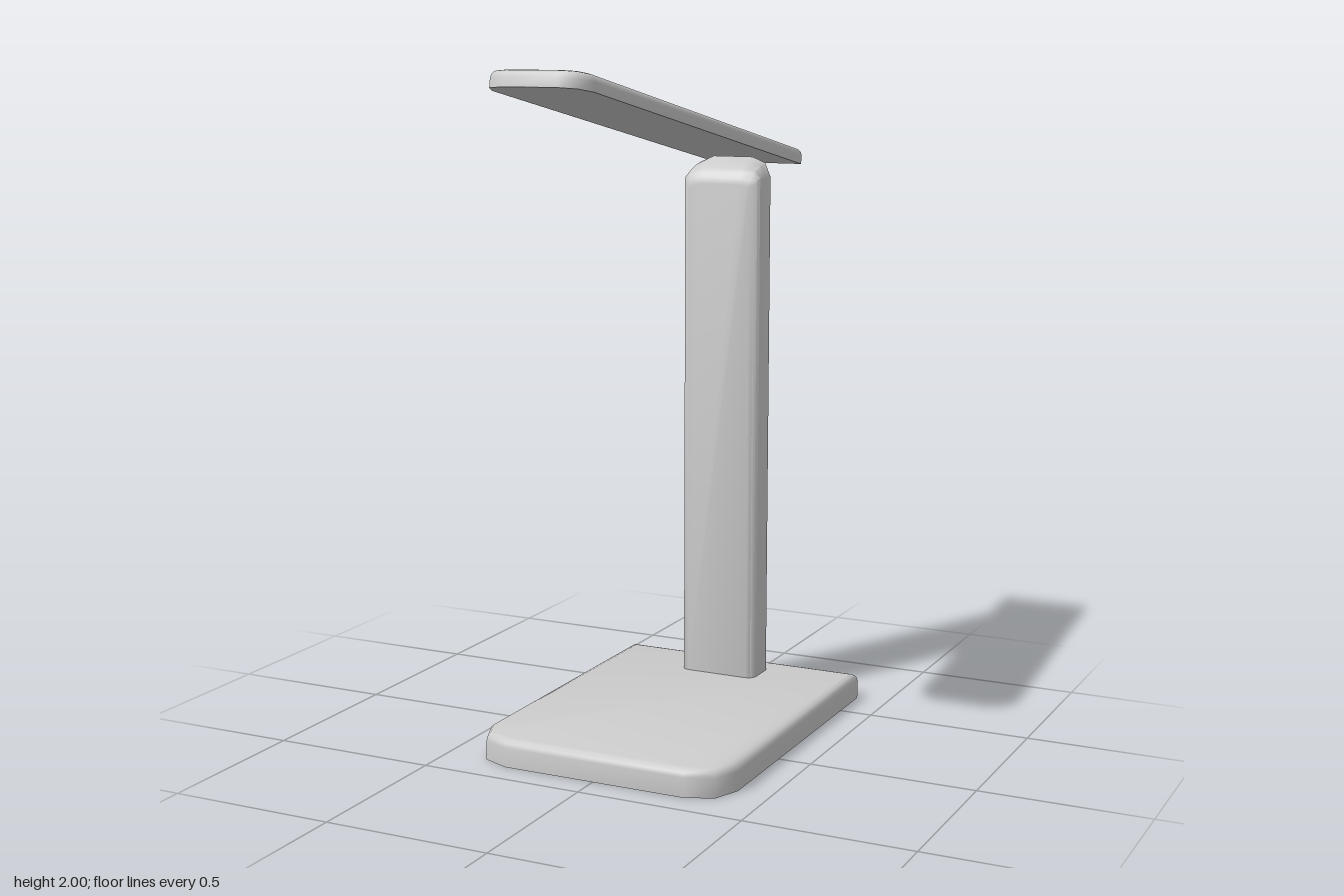
import * as THREE from 'three';
import { toCreasedNormals } from 'three/addons/utils/BufferGeometryUtils.js';

const material = new THREE.MeshStandardMaterial({ color: 0xcccccc });

// Slab in the xy plane, rounded at the +y corners, stacked along z from rings
// of [height, side inset, rounded end inset].
function slab(halfWidth, y0, y1, radius, rings, segments = 2) {
  const positions = [], index = [];
  for (const [z, side, end] of rings) {
    const w = halfWidth - side, top = y1 - end;
    const rx = Math.max(radius - side, 0.02), ry = Math.max(radius - end, 0.02);
    positions.push(-w, y0 + side, z, w, y0 + side, z);
    for (const s of [1, -1]) {
      for (let i = 0; i <= segments; i++) {
        const a = (i / segments + (s < 0 ? 1 : 0)) * Math.PI / 2;
        positions.push(s * (w - rx) + rx * Math.cos(a), top - ry + ry * Math.sin(a), z);
      }
    }
  }
  const n = 2 + 2 * (segments + 1), last = (rings.length - 1) * n;
  for (let r = 0; r < rings.length - 1; r++) {
    for (let i = 0; i < n; i++) {
      const a = r * n + i, b = r * n + (i + 1) % n;
      index.push(a, b, b + n, a, b + n, a + n);
    }
  }
  for (let i = 1; i < n - 1; i++) {
    index.push(0, i + 1, i, last, last + i, last + i + 1);
  }
  const geometry = new THREE.BufferGeometry();
  geometry.setAttribute('position', new THREE.Float32BufferAttribute(positions, 3));
  geometry.setIndex(index);
  return toCreasedNormals(geometry, 0.9);
}

// Rings for a flat underside and an evenly rounded upper edge
function roundedTop(height, bevel) {
  const rings = [[0, 0, 0]];
  for (let i = 0; i <= 3; i++) {
    const a = i * Math.PI / 6, inset = bevel * (1 - Math.cos(a));
    rings.push([height - bevel * (1 - Math.sin(a)), inset, inset]);
  }
  return rings;
}

// Lay a slab flat with its rounded end toward +z
const layFlat = (geometry) => geometry.rotateX(-Math.PI / 2).rotateY(Math.PI);

export function createModel() {
  const group = new THREE.Group();
  const add = (name, geometry) => {
    const mesh = new THREE.Mesh(geometry, material);
    mesh.name = name;
    group.add(mesh);
    return mesh;
  };

  // Base plate
  add('base', layFlat(slab(0.4, -0.645, 0.412, 0.115, roundedTop(0.083, 0.025))));

  // Upright: flat back, softened front edges, top sloping down to the front
  const stem = add('stem', slab(0.125, 0.05, 1.715, 0.06, [
    [0, 0, 0],
    [0.04, 0, 0.012],
    [0.079, 0, 0.032],
    [0.092, 0.004, 0.046],
    [0.101, 0.012, 0.06],
    [0.105, 0.025, 0.078],
  ]));
  stem.position.z = -0.545;

  // Lamp head: thin slab hinged up toward the front
  const head = add('lampHead', layFlat(slab(0.15, 0, 1.49, 0.07, roundedTop(0.048, 0.022))));
  head.position.set(0, 1.685, -0.73);
  head.rotation.x = -0.184;

  return group;
}
